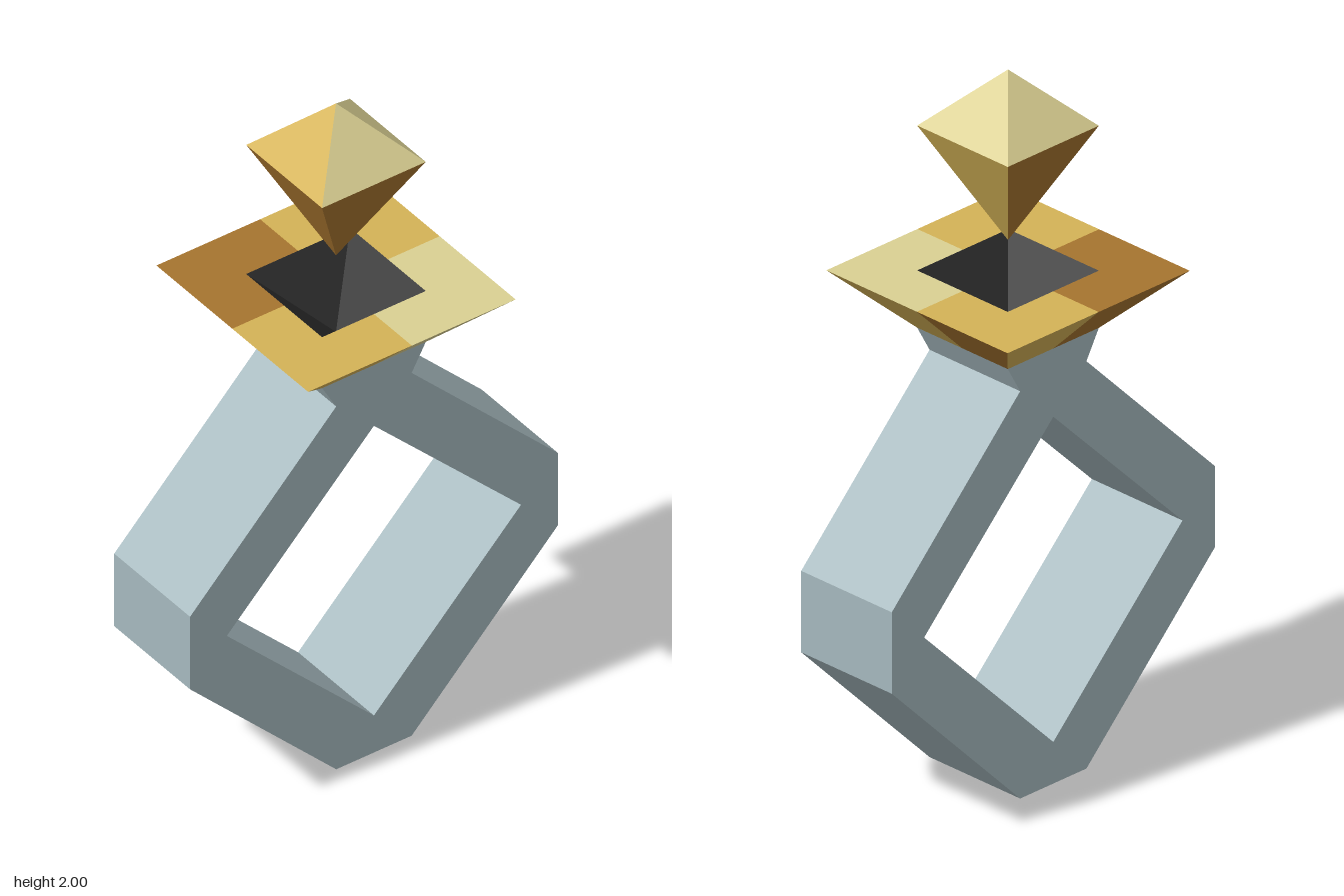
import * as THREE from 'three';

const mat = (name, color) => new THREE.MeshStandardMaterial({ name, color });

// Flat facet from a convex polygon, corners counter-clockwise seen from its front
function facet(name, material, corners, quarterTurns = 0) {
  const pos = [];
  for (let i = 1; i < corners.length - 1; i++) pos.push(...corners[0], ...corners[i], ...corners[i + 1]);
  const geo = new THREE.BufferGeometry();
  geo.setAttribute('position', new THREE.Float32BufferAttribute(pos, 3));
  geo.rotateY(quarterTurns * Math.PI / 2);
  geo.computeVertexNormals();
  const mesh = new THREE.Mesh(geo, material);
  mesh.name = name;
  return mesh;
}

function named(name) {
  const g = new THREE.Group();
  g.name = name;
  return g;
}

export function createModel() {
  const steel = mat('steel', 0xa6b9be);
  const gold = mat('gold', 0xd4b256);
  const pale = mat('paleGold', 0xdad092);
  const brown = mat('bronze', 0xa6742f);
  const dark = mat('darkSocket', 0x2a2a2a);
  const model = named('ring');

  // Angular band with a flared neck and a diamond-shaped opening
  const half = [[0.12, 0], [0.585, 0.47], [0.585, 0.705], [0.12, 1.175], [0.165, 1.255]];
  const outline = [...half, ...half.map(([x, y]) => [-x, y]).reverse()];
  const toV2 = ([x, y]) => new THREE.Vector2(x, y);
  const shape = new THREE.Shape(outline.map(toV2));
  shape.holes.push(new THREE.Path([[0, 0.12], [-0.468, 0.59], [0, 1.058], [0.468, 0.59]].map(toV2)));
  const bandGeo = new THREE.ExtrudeGeometry(shape, { depth: 0.33, bevelEnabled: false });
  bandGeo.translate(0, 0, -0.165);
  const band = new THREE.Mesh(bandGeo, steel);
  band.name = 'band';
  model.add(band);

  // Flared setting: each side is split in two colours; sides run +z, +x, -z, -x
  const setting = named('setting');
  const b = 0.165, t = 0.33, y0 = 1.255, y1 = 1.42;
  const sideColours = [[gold, pale], [gold, brown], [gold, brown], [brown, gold]];
  const rimColours = [pale, gold, brown, gold];
  for (let k = 0; k < 4; k++) {
    const [left, right] = sideColours[k];
    setting.add(
      facet('settingSideLeft', left, [[-b, y0, b], [0, y0, b], [0, y1, t], [-t, y1, t]], k),
      facet('settingSideRight', right, [[0, y0, b], [b, y0, b], [t, y1, t], [0, y1, t]], k),
      facet('rimFront', rimColours[k], [[0, y1, b], [0, y1, t], [t, y1, t], [b, y1, b]], k),
      facet('rimSide', rimColours[k], [[b, y1, b], [t, y1, t], [t, y1, 0], [b, y1, 0]], k),
      // Sunken pyramid socket
      facet('socketWall', dark, [[-b, y1, b], [b, y1, b], [0, y0 + 0.005, 0]], k)
    );
  }
  model.add(setting);

  // Floating gem: low crown above a long pointed base
  const gem = named('gem');
  const g = 0.165, yg = 1.838;
  const crownColours = [pale, pale, pale, gold];
  const baseColours = [brown, gold, brown, brown];
  for (let k = 0; k < 4; k++) {
    gem.add(
      facet('gemCrown', crownColours[k], [[-g, yg, g], [g, yg, g], [0, 2, 0]], k),
      facet('gemBase', baseColours[k], [[g, yg, g], [-g, yg, g], [0, 1.508, 0]], k)
    );
  }
  model.add(gem);
  return model;
}
